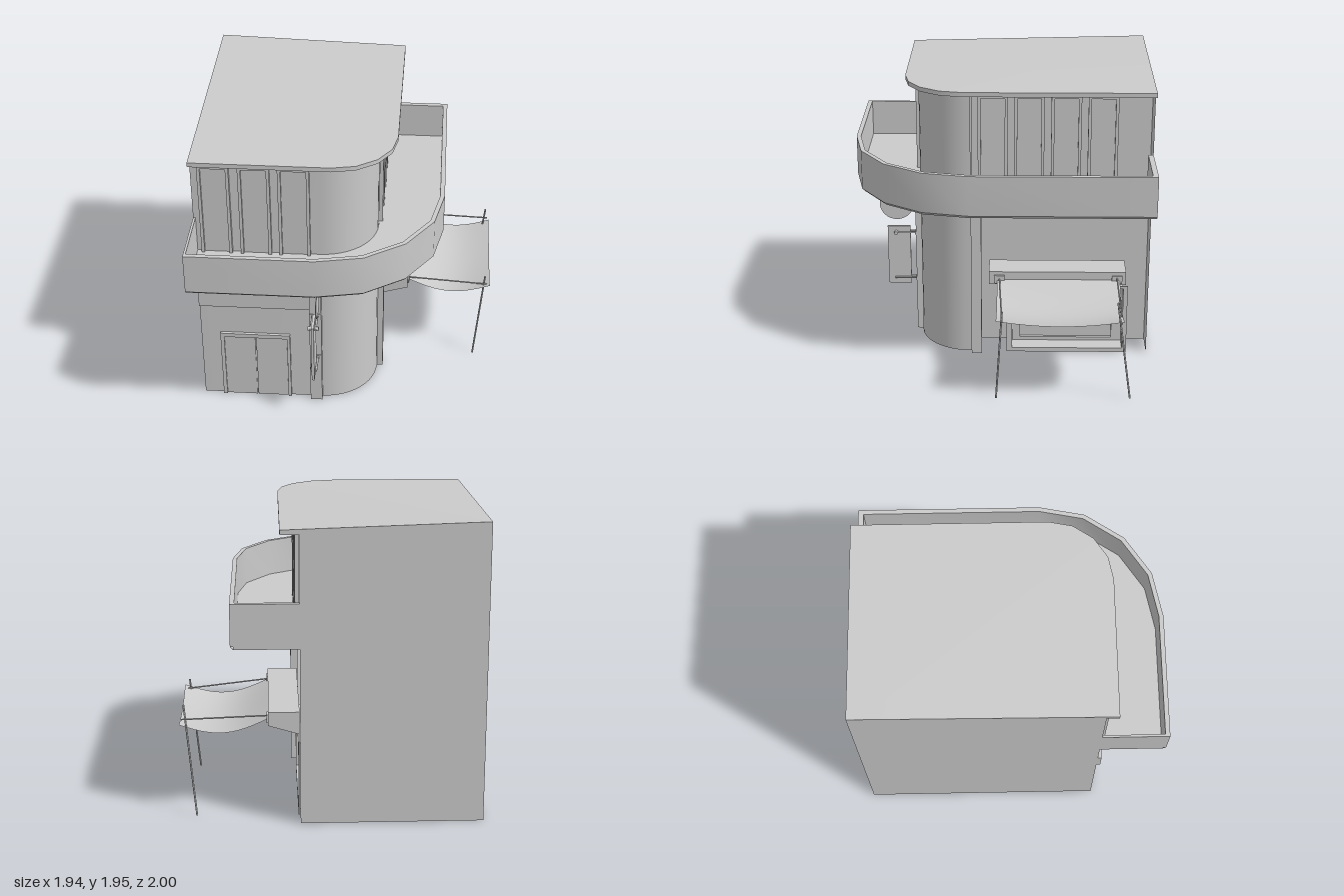
import * as THREE from 'three';
import { toCreasedNormals } from 'three/addons/utils/BufferGeometryUtils.js';

const V = (x, y, z) => new THREE.Vector3(x, y, z);

export function createModel() {
  const root = new THREE.Group();
  const mat = new THREE.MeshStandardMaterial({ color: 0xcccccc, side: THREE.DoubleSide });

  const add = (name, geo, parent = root) => {
    const m = new THREE.Mesh(geo, mat);
    m.name = name;
    parent.add(m);
    return m;
  };
  const group = (name) => {
    const g = new THREE.Group();
    g.name = name;
    root.add(g);
    return g;
  };
  // Box given by its minimum and maximum corners
  const box = (name, x0, x1, y0, y1, z0, z1, parent) => {
    const g = new THREE.BoxGeometry(x1 - x0, y1 - y0, z1 - z0);
    g.translate((x0 + x1) / 2, (y0 + y1) / 2, (z0 + z1) / 2);
    return add(name, g, parent);
  };
  // Skin between two rows of points
  const strip = (lower, upper) => {
    const pos = [];
    for (let i = 0; i < lower.length - 1; i++) {
      const [a, b, c, d] = [lower[i], lower[i + 1], upper[i + 1], upper[i]];
      for (const p of [a, b, c, a, c, d]) pos.push(p.x, p.y, p.z);
    }
    const g = new THREE.BufferGeometry();
    g.setAttribute('position', new THREE.Float32BufferAttribute(pos, 3));
    return toCreasedNormals(g, 0.6);
  };
  const atY = (pts, y) => pts.map(([x, z]) => V(x, y, z));
  // Quarter circle in plan, from the front round to the left side
  const arc = (cx, cz, r, n) => Array.from({ length: n + 1 }, (_, i) => {
    const a = (Math.PI / 2) * (1 - i / n);
    return [cx + r * Math.cos(a), cz + r * Math.sin(a)];
  });
  // Horizontal slab from a plan outline
  const slab = (pts, y0, y1) => {
    const s = new THREE.Shape(pts.map(([x, z]) => new THREE.Vector2(x, -z)));
    const g = new THREE.ExtrudeGeometry(s, { depth: y1 - y0, bevelEnabled: false });
    g.rotateX(-Math.PI / 2).translate(0, y0, 0);
    return toCreasedNormals(g, 0.6);
  };
  const rod = (name, a, b, r, parent) => {
    const g = new THREE.CylinderGeometry(r, r, a.distanceTo(b), 8);
    const m = add(name, g, parent);
    m.position.copy(a).add(b).multiplyScalar(0.5);
    m.quaternion.setFromUnitVectors(V(0, 1, 0), b.clone().sub(a).normalize());
  };

  // Walls: open at the bottom, rounded front left corner
  const wallArc = arc(-0.16, 0.21, 0.36, 12);
  const shell = [[0.2, -1], [-0.97, -1], [-0.97, 0.57], ...wallArc];
  add('walls', strip(atY(shell, 0), atY(shell, 1.88)));

  // Left wall with the shop window opening
  const side = new THREE.Shape();
  side.moveTo(-0.21, 0).lineTo(1, 0).lineTo(1, 1.88).lineTo(-0.21, 1.88);
  const opening = new THREE.Path();
  opening.moveTo(0.07, 0.03).lineTo(0.07, 0.48).lineTo(0.83, 0.48).lineTo(0.83, 0.03);
  side.holes.push(opening);
  add('sideWall', new THREE.ShapeGeometry(side).rotateY(Math.PI / 2));

  // Recessed shop window
  const shop = group('shopWindow');
  const jamb = [[-0.07, 0.03], [-0.07, 0.48], [-0.83, 0.48], [-0.83, 0.03], [-0.07, 0.03]];
  add('recess', strip(jamb.map(([z, y]) => V(0.07, y, z)), jamb.map(([z, y]) => V(0.2, y, z))), shop);
  box('glass', 0.06, 0.07, 0.03, 0.48, -0.83, -0.07, shop);
  box('innerFrameTop', 0.07, 0.09, 0.43, 0.48, -0.83, -0.07, shop);
  box('innerFrameBottom', 0.07, 0.09, 0.03, 0.055, -0.83, -0.07, shop);
  box('innerFrameFront', 0.07, 0.09, 0.055, 0.43, -0.125, -0.07, shop);
  box('innerFrameBack', 0.07, 0.09, 0.055, 0.43, -0.83, -0.76, shop);
  box('trimTop', 0.2, 0.21, 0.48, 0.5, -0.86, -0.03, shop);
  box('trimBottom', 0.2, 0.21, 0, 0.03, -0.86, -0.03, shop);
  box('trimFront', 0.2, 0.21, 0.03, 0.48, -0.07, -0.03, shop);
  box('trimBack', 0.2, 0.21, 0.03, 0.48, -0.86, -0.83, shop);

  // Pilasters either side of the rounded corner
  box('frontPilaster', -0.235, -0.155, 0, 1.16, 0.56, 0.61);
  box('sidePilaster', 0.19, 0.24, 0, 1.16, 0.14, 0.21);

  // Roof rising to the back right corner
  const eave = [[-0.97, 0.65], ...arc(-0.08, 0.25, 0.4, 4), [0.32, -1]];
  const low = atY(eave, 1.88), high = atY(eave, 1.91);
  const peak = V(-0.97, 1.95, -1), foot = V(-0.97, 1.88, -1);
  const roof = group('roof');
  add('roofTop', strip(high, high.map(() => peak)), roof);
  add('roofEdge', strip([foot, ...low, foot], [peak, ...high, peak]), roof);
  add('roofUnderside', strip(low.map(() => foot), low), roof);

  // Balcony: parapet, floor and chamfered bottom edge
  const balcony = group('balcony');
  const outline = (r, x0, z0) => [[x0, 0.21 + r], ...arc(-0.16, 0.21, r, 4), [-0.16 + r, z0]];
  const outer = outline(0.79, -0.97, -1);
  const inner = outline(0.76, -0.955, -0.965);
  const under = outline(0.77, -0.97, -1);
  const house = [[0.2, -1], ...wallArc.slice().reverse(), [-0.97, 0.57]];
  add('parapet', slab([[-0.97, 0.57], ...outer, [0.2, -1], [0.2, -0.965],
    ...inner.slice().reverse(), [-0.955, 0.57]], 1.18, 1.45), balcony);
  add('balconyFloor', slab([...inner, ...house], 1.18, 1.2), balcony);
  add('balconyBase', slab([...under, ...house], 1.16, 1.18), balcony);
  add('balconyChamfer', strip(atY(under, 1.16), atY(outer, 1.18)), balcony);

  // Upper windows: raised frames round flat panes; built facing +z, local x from 0
  const upperWindow = (w, top) => {
    const g = group('upperWindow');
    const b = 0.02, h = top - 1.2;
    box('jambA', 0, b, 0, h, 0, 0.025, g);
    box('jambB', w - b, w, 0, h, 0, 0.025, g);
    box('head', b, w - b, h - b, h, 0, 0.025, g);
    box('pane', b, w - b, 0, h - b, 0, 0.006, g);
    return g;
  };
  for (const x of [-0.925, -0.67, -0.42]) upperWindow(0.2, 1.855).position.set(x, 1.2, 0.57);
  for (const z of [0.16, -0.08, -0.323, -0.565]) {
    const w = upperWindow(0.198, 1.86);
    w.position.set(0.2, 1.2, z);
    w.rotation.y = Math.PI / 2;
  }

  // Double door and fascia board
  const door = group('door');
  box('doorFrameA', -0.84, -0.815, 0, 0.53, 0.57, 0.59, door);
  box('doorFrameB', -0.39, -0.37, 0, 0.53, 0.57, 0.59, door);
  box('doorFrameTop', -0.815, -0.39, 0.5, 0.53, 0.57, 0.59, door);
  for (const x of [-0.815, -0.6]) box('doorLeaf', x, x + 0.208, 0, 0.495, 0.565, 0.578, door);
  box('fascia', -0.97, -0.235, 0.76, 0.94, 0.57, 0.595);

  // Round hanging sign
  const round = group('roundSign');
  const disc = add('disc', new THREE.CylinderGeometry(0.118, 0.118, 0.008, 32), round);
  disc.rotation.z = Math.PI / 2;
  disc.position.set(-0.168, 0.955, 0.74);
  box('bracket', -0.176, -0.16, 0.94, 0.97, 0.6, 0.635, round);

  // Tall hanging sign held by pairs of arms
  const tall = group('tallSign');
  box('board', -0.205, -0.187, 0.34, 0.775, 0.65, 0.81, tall);
  for (const y of [0.73, 0.385]) {
    for (const x of [-0.212, -0.18]) rod('arm', V(x, y, 0.6), V(x, y, 0.765), 0.007, tall);
    box('armPlate', -0.232, -0.16, y - 0.012, y + 0.012, 0.605, 0.615, tall);
  }
  rod('clamp', V(-0.232, 0.73, 0.75), V(-0.16, 0.73, 0.75), 0.014, tall);

  // Awning housing with a sloping underside
  const awning = group('awning');
  const profile = new THREE.Shape();
  profile.moveTo(0.2, 0.54).lineTo(0.4, 0.6).lineTo(0.4, 0.69).lineTo(0.2, 0.69);
  const housing = new THREE.ExtrudeGeometry(profile, { depth: 0.915, bevelEnabled: false });
  add('housing', housing.translate(0, 0, -0.83), awning);

  // Sagging cloth
  const cloth = new THREE.PlaneGeometry(0.57, 0.82, 12, 12).rotateX(-Math.PI / 2);
  const p = cloth.attributes.position;
  for (let i = 0; i < p.count; i++) {
    const u = p.getX(i) / 0.57 + 0.5, w = p.getZ(i) / 0.41;
    const y = 0.635 - 0.035 * u - 0.075 * Math.sin(Math.PI * u) - 0.035 * (1 - w * w) * u;
    p.setXYZ(i, 0.4 + 0.57 * u, y, -0.38 + 0.41 * w);
  }
  cloth.computeVertexNormals();
  add('cloth', cloth, awning);

  // Stay rods, their sockets and the leaning poles
  for (const z of [0.015, -0.77]) box('socket', 0.4, 0.41, 0.61, 0.665, z - 0.035, z + 0.035, awning);
  rod('stay', V(0.4, 0.65, -0.77), V(0.955, 0.63, -0.77), 0.005, awning);
  rod('stay', V(0.4, 0.64, 0.015), V(0.95, 0.585, -0.01), 0.005, awning);
  rod('pole', V(0.865, 0, -0.845), V(0.94, 0.72, -0.745), 0.006, awning);
  rod('pole', V(0.875, 0, 0.03), V(0.935, 0.65, -0.01), 0.006, awning);

  return root;
}
